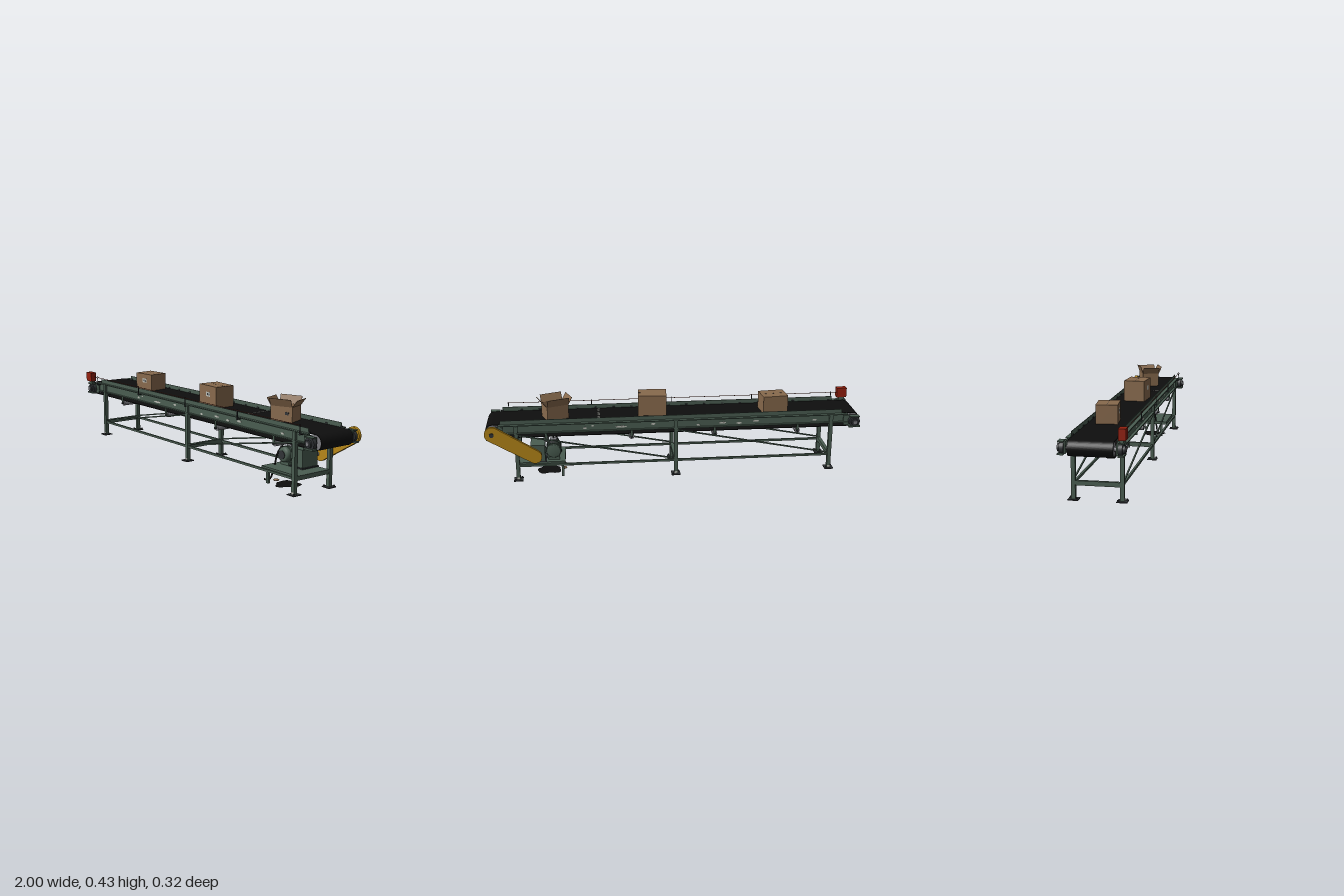
import * as THREE from 'three';

const mat = (name, color, side = THREE.FrontSide) => {
  const m = new THREE.MeshStandardMaterial({ color, side });
  m.name = name;
  return m;
};

export function createModel() {
  const green = mat('machine green', 0x4a5d51);
  const black = mat('belt black', 0x0e0e0e, THREE.DoubleSide);
  const card = mat('cardboard', 0x886a4d, THREE.DoubleSide);
  const yellow = mat('guard yellow', 0xb58618);
  const red = mat('switch red', 0x93200f);
  const steel = mat('steel grey', 0x7b7b80);
  const dark = mat('dark iron', 0x303336);
  const pale = mat('bare metal', 0xb9bab2);
  const cordRed = mat('cord rust', 0x6b3325);

  const root = new THREE.Group();
  root.name = 'beltConveyor';
  const add = (name, geo, m, x = 0, y = 0, z = 0, parent = root) => {
    const mesh = new THREE.Mesh(geo, m);
    mesh.name = name;
    mesh.position.set(x, y, z);
    parent.add(mesh);
    return mesh;
  };
  const box = (name, w, h, d, m, x, y, z, parent) =>
    add(name, new THREE.BoxGeometry(w, h, d), m, x, y, z, parent);
  // cylinder lying along z
  const rod = (name, r, len, m, x, y, z, parent, seg = 24) =>
    add(name, new THREE.CylinderGeometry(r, r, len, seg).rotateX(Math.PI / 2), m, x, y, z, parent);
  // square bar between two points of an x-y plane
  const bar = (name, x0, y0, x1, y1, z, t, m) => {
    const b = box(name, Math.hypot(x1 - x0, y1 - y0), t, t, m, (x0 + x1) / 2, (y0 + y1) / 2, z);
    b.rotation.z = Math.atan2(y1 - y0, x1 - x0);
  };
  // outline round two circles, a at the top right and b at the lower left
  const capsule = (ax, ay, ar, bx, by, br) => {
    const t = Math.atan2(ay - by, ax - bx), s = new THREE.Shape();
    s.absarc(ax, ay, ar, t - Math.PI / 2, t + Math.PI / 2, false);
    s.absarc(bx, by, br, t + Math.PI / 2, t + Math.PI * 1.5, false);
    s.closePath();
    return s;
  };
  const extrude = (shape, depth) =>
    new THREE.ExtrudeGeometry(shape, { depth, bevelEnabled: false, curveSegments: 20 });

  // Belt loop and end pulleys
  const PX = 0.962, PY = 0.2735;
  const loop = capsule(PX, PY, 0.038, -PX, PY, 0.038);
  loop.holes.push(new THREE.Path(capsule(PX, PY, 0.035, -PX, PY, 0.035).getPoints(20).reverse()));
  add('belt', extrude(loop, 0.208), black, 0, 0, -0.104);
  for (let i = 0; i < 16; i++)
    box('beltLacing', 0.012, 0.002, 0.005, pale, 0.405, 0.312, -0.094 + i * 0.0125);

  for (const sx of [-1, 1]) {
    rod('pulley', 0.0348, 0.204, steel, sx * PX, PY, 0);
    rod('pulleyShaft', 0.01, 0.316, steel, sx * PX, PY, 0);
    for (const sz of [-1, 1]) {
      box('bearingPlate', 0.075, 0.055, 0.008, green, sx * 0.945, 0.276, sz * 0.119);
      box('bearingFoot', 0.062, 0.008, 0.028, green, sx * PX, 0.248, sz * 0.137);
      box('bearingCap', 0.05, 0.006, 0.028, green, sx * PX, 0.303, sz * 0.137);
      rod('bearingHousing', 0.03, 0.02, dark, sx * PX, PY, sz * 0.133);
      rod('bearingCollar', 0.019, 0.012, dark, sx * PX, PY, sz * 0.148);
    }
  }

  // Channel side rails, skirts and long braces
  const channel = new THREE.Shape([
    [0.107, 0.262], [0.127, 0.262], [0.127, 0.267], [0.113, 0.267],
    [0.113, 0.307], [0.127, 0.307], [0.127, 0.312], [0.107, 0.312],
  ].map(([a, b]) => new THREE.Vector2(-a, b)));
  const railGeo = extrude(channel, 1.86).rotateY(Math.PI / 2).translate(-0.93, 0, 0);
  for (const sz of [-1, 1]) {
    const rail = add('sideRail', railGeo, green);
    if (sz < 0) rail.rotation.y = Math.PI;
    box('skirt', 1.82, 0.026, 0.003, green, 0.01, 0.321, sz * 0.107);
    for (let i = 0; i < 19; i++)
      box('skirtClip', 0.014, 0.006, 0.006, dark, -0.88 + i * 0.1, 0.316, sz * 0.105);
    box('lowerRail', 1.68, 0.011, 0.011, green, 0, 0.08, sz * 0.115);
    bar('diagonalBrace', -0.84, 0.09, 0, 0.255, sz * 0.118, 0.007, green);
    bar('diagonalBrace', 0, 0.09, 0.84, 0.255, sz * 0.118, 0.007, green);
  }

  // Worn paint patches on both rails: x, y, length
  for (const [x, y, w] of [[-0.48, 0.28, 0.02], [-0.44, 0.292, 0.014], [-0.29, 0.281, 0.065],
    [-0.12, 0.29, 0.025], [0.12, 0.276, 0.02], [0.25, 0.283, 0.04], [0.34, 0.278, 0.03],
    [0.43, 0.287, 0.035], [0.75, 0.281, 0.025]])
    for (const sz of [-1, 1])
      add('paintChip', new THREE.CylinderGeometry(0.5, 0.5, 0.001, 7).rotateX(Math.PI / 2), pale,
        sz * x, y, sz * 0.1132).scale.set(w, 0.011, 1);

  // Legs, cross rails and foot plates
  for (const x of [-0.84, 0, 0.84]) {
    box('crossRail', 0.018, 0.022, 0.21, green, x, 0.081, 0);
    box('topCrossRail', 0.018, 0.016, 0.21, green, x, 0.255, 0);
    for (const sz of [-1, 1]) {
      box('leg', 0.02, 0.304, 0.02, green, x, 0.154, sz * 0.115);
      box('footPlate', 0.048, 0.005, 0.05, dark, x, 0.0025, sz * 0.115);
      box('legScuff', 0.016, 0.012, 0.001, pale, x, 0.011, sz * 0.1255);
      for (const sb of [-1, 1])
        add('footBolt', new THREE.CylinderGeometry(0.004, 0.004, 0.008, 6), dark,
          x + sb * 0.016, 0.008, sz * (0.115 + sb * 0.018));
    }
  }

  // Return rollers on hangers
  for (const x of [-0.66, -0.21, 0.235, 0.685]) {
    rod('returnRoller', 0.0145, 0.206, steel, x, 0.22, 0);
    for (const sz of [-1, 1]) {
      box('rollerHanger', 0.013, 0.05, 0.004, green, x, 0.241, sz * 0.109);
      rod('rollerAxle', 0.006, 0.012, dark, x, 0.22, sz * 0.109, root, 12);
    }
  }

  // Motor platform
  box('motorPlatform', 0.25, 0.016, 0.206, green, 0.715, 0.084, 0);
  for (const z of [0.071, -0.086]) box('platformLeg', 0.013, 0.076, 0.013, green, 0.605, 0.038, z);

  // Motor with cooling ribs, terminal box and gearbox
  const motorProfile = [[0, -0.09], [0.034, -0.09], [0.038, -0.084], [0.038, 0.006],
    [0.036, 0.016], [0.028, 0.023], [0, 0.025]].map(([r, y]) => new THREE.Vector2(r, y));
  add('motor', new THREE.LatheGeometry(motorProfile, 28).rotateX(Math.PI / 2), green, 0.65, 0.145, 0);
  rod('motorFanGrille', 0.022, 0.004, dark, 0.65, 0.145, 0.0245);
  for (let i = 0; i < 7; i++) rod('motorRib', 0.041, 0.004, green, 0.65, 0.145, -0.078 + i * 0.012);
  box('motorFoot', 0.06, 0.016, 0.08, green, 0.65, 0.1, -0.035);
  box('terminalBox', 0.035, 0.018, 0.035, steel, 0.65, 0.191, -0.042);
  box('gearbox', 0.076, 0.094, 0.102, green, 0.733, 0.14, -0.051);
  rod('gearboxShaft', 0.01, 0.045, steel, 0.733, 0.143, -0.12);
  box('gearboxBase', 0.09, 0.006, 0.11, dark, 0.733, 0.095, -0.05);

  // Drive guard
  add('driveGuard', extrude(capsule(0.96, 0.276, 0.04, 0.745, 0.144, 0.036), 0.017), yellow, 0, 0, -0.157);
  rod('guardHub', 0.012, 0.004, dark, PX, PY, -0.158);

  // Power cable and oil stain
  const cable = new THREE.CatmullRomCurve3([[0.65, 0.196, -0.03], [0.656, 0.228, -0.012],
    [0.64, 0.2, 0.0], [0.622, 0.15, 0.025], [0.612, 0.08, 0.037], [0.598, 0.025, 0.046],
    [0.575, 0.006, 0.047], [0.55, 0.005, 0.046]].map(p => new THREE.Vector3(...p)));
  add('powerCable', new THREE.TubeGeometry(cable, 48, 0.0045, 8), black);
  const stain = new THREE.Shape();
  for (let i = 0; i < 28; i++) {
    const a = i / 28 * Math.PI * 2, r = 0.062 + 0.009 * Math.sin(3 * a) + 0.006 * Math.cos(5 * a + 1);
    stain[i ? 'lineTo' : 'moveTo'](r * Math.cos(a), r * Math.sin(a));
  }
  add('oilStain', new THREE.ShapeGeometry(stain).rotateX(-Math.PI / 2), black, 0.68, 0.001, 0.01);
  add('cardScrap', new THREE.IcosahedronGeometry(0.016, 1).scale(1, 0.35, 1), card, 0.6, 0.006, 0.012);

  // Emergency stop and pull cord
  box('stopSwitch', 0.055, 0.053, 0.034, red, -0.962, 0.346, 0.142);
  box('stopBracket', 0.03, 0.02, 0.02, green, -0.962, 0.312, 0.137);
  add('pullCord', new THREE.CylinderGeometry(0.0015, 0.0015, 1.83, 6).rotateZ(Math.PI / 2),
    cordRed, -0.02, 0.347, 0.135);
  for (const x of [-0.9, -0.45, 0, 0.44, 0.89]) {
    box('cordPost', 0.004, 0.046, 0.004, dark, x, 0.322, 0.134);
    box('cordPostFoot', 0.01, 0.004, 0.024, dark, x, 0.303, 0.125);
    add('cordEye', new THREE.TorusGeometry(0.005, 0.0013, 6, 12).rotateY(Math.PI / 2), dark, x, 0.347, 0.135);
  }

  // Closed cartons with seam tape line and blank label
  const carton = (x, z, w, h, d, turn) => {
    const g = new THREE.Group();
    g.name = 'closedCarton';
    g.position.set(x, 0.312, z);
    g.rotation.y = turn;
    root.add(g);
    box('cartonBody', w, h, d, card, 0, h / 2, 0, g);
    box('cartonSeam', w, 0.0006, 0.0015, dark, 0, h, 0, g);
    box('label', 0.036, 0.024, 0.001, pale, 0.004, h * 0.58, d / 2, g);
    for (const [dx, s] of [[-0.005, 0.006], [0.008, 0.009]])
      box('labelMark', s, 0.01, 0.001, dark, 0.004 + dx, h * 0.58, d / 2 + 0.0006, g);
  };
  carton(-0.539, -0.015, 0.136, 0.093, 0.108, 0.1);
  carton(0.116, 0.01, 0.152, 0.111, 0.113, -0.06);

  // Open carton: floor, four walls and four leaning flaps
  const open = new THREE.Group();
  open.name = 'openCarton';
  open.position.set(0.635, 0.312, -0.012);
  open.rotation.y = 0.36;
  root.add(open);
  const W = 0.118, D = 0.096, H = 0.075, T = 0.002;
  box('cartonFloor', W, T, D, card, 0, T, 0, open);
  [[0, W, D, 0.45], [1, D, W, 0.65], [2, W, D, 0.3], [3, D, W, 0.55]].forEach(([k, wide, across, lean]) => {
    const side = new THREE.Group();
    side.name = 'cartonSide';
    side.rotation.y = k * Math.PI / 2;
    open.add(side);
    box('cartonWall', wide, H, T, card, 0, H / 2, across / 2 - T / 2, side);
    const flap = add('cartonFlap', new THREE.BoxGeometry(wide, 0.043, T).translate(0, 0.0215, 0),
      card, 0, H, across / 2 - T / 2, side);
    flap.rotation.x = lean;
  });
  box('label', 0.02, 0.014, 0.001, dark, 0.03, 0.042, D / 2 + 0.0004, open);

  return root;
}
